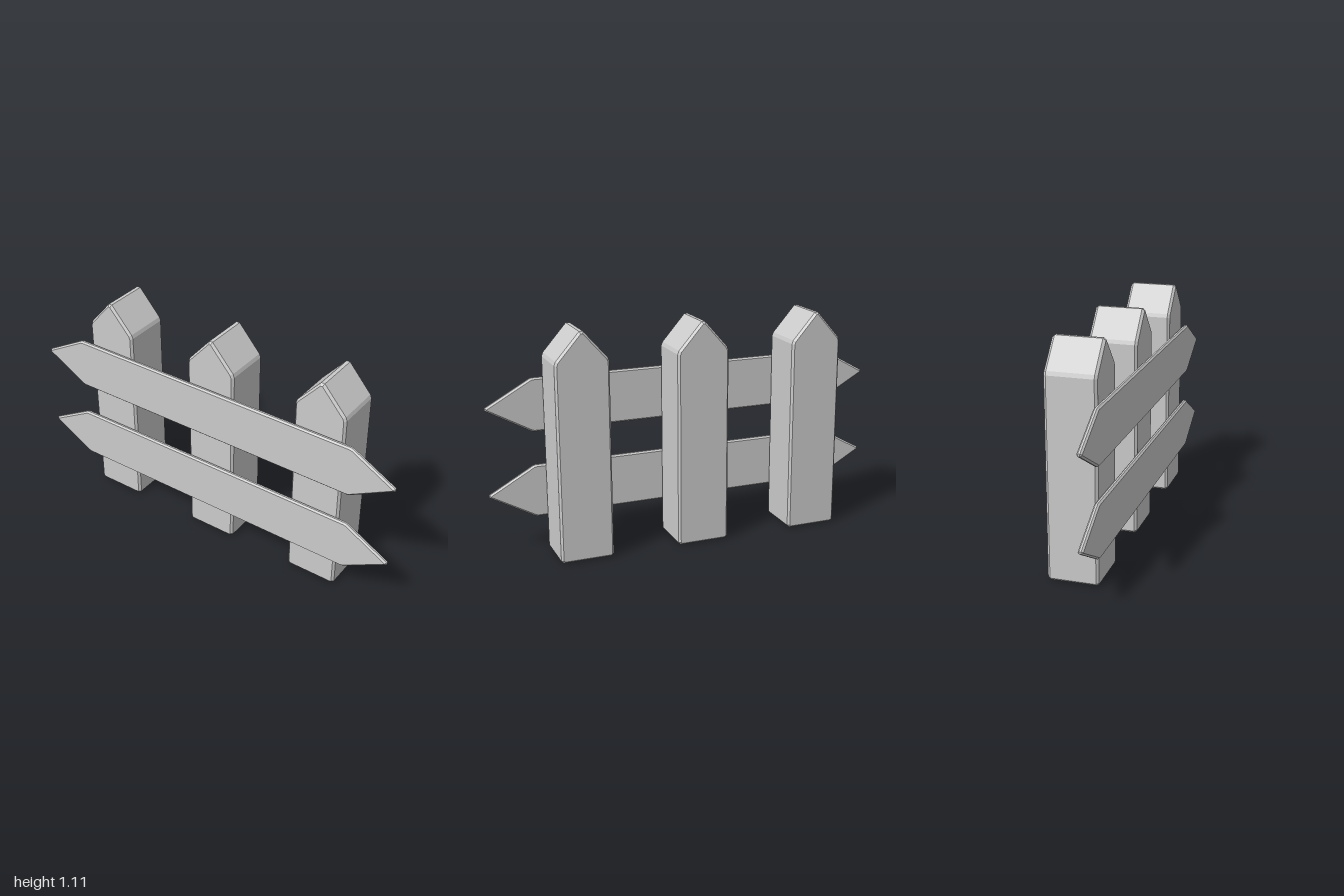
import * as THREE from 'three';

const material = new THREE.MeshStandardMaterial({ color: 0xcccccc, flatShading: true });

// Chamfered plank: an outline in the z-y plane, extruded along x from x0 to x1.
function plank(name, outline, x0, x1, bevel, thickness) {
  const shape = new THREE.Shape(outline.map(([a, b]) => new THREE.Vector2(a, b)));
  const geometry = new THREE.ExtrudeGeometry(shape, {
    depth: x1 - x0 - 2 * thickness,
    bevelEnabled: true,
    bevelSegments: 1,
    bevelSize: bevel,
    bevelOffset: -bevel,
    bevelThickness: thickness,
  });
  geometry.translate(0, 0, x0 + thickness);
  geometry.rotateY(Math.PI / 2);
  const mesh = new THREE.Mesh(geometry, material);
  mesh.name = name;
  return mesh;
}

// Mirrors the right half of an outline (bottom to top) to close it.
function mirrored(half) {
  return [...half, ...half.slice().reverse().map(([a, b]) => [-a, b])];
}

export function createModel() {
  const fence = new THREE.Group();
  fence.name = 'picketFence';

  // Thick upright pickets with pointed tops
  const picketOutline = mirrored([
    [0.118, 0], [0.13, 0.012], [0.13, 0.957], [0.123, 0.975], [0.009, 1.105],
  ]);
  [['frontPicket', 0.595], ['middlePicket', 0.002], ['backPicket', -0.595]].forEach(([name, z]) => {
    const picket = plank(name, picketOutline, -0.109, 0.132, 0.01, 0.012);
    picket.position.z = z;
    fence.add(picket);
  });

  // Thin rails pointed at both ends, fixed behind the pickets
  const railOutline = mirrored([
    [0.77, -0.131], [0.782, -0.128], [1, -0.006], [1, 0.006], [0.782, 0.128], [0.77, 0.131],
  ]);
  [['lowerRail', 0.293], ['upperRail', 0.721]].forEach(([name, y]) => {
    const rail = plank(name, railOutline, -0.134, -0.109, 0.008, 0.008);
    rail.position.y = y;
    fence.add(rail);
  });

  return fence;
}
